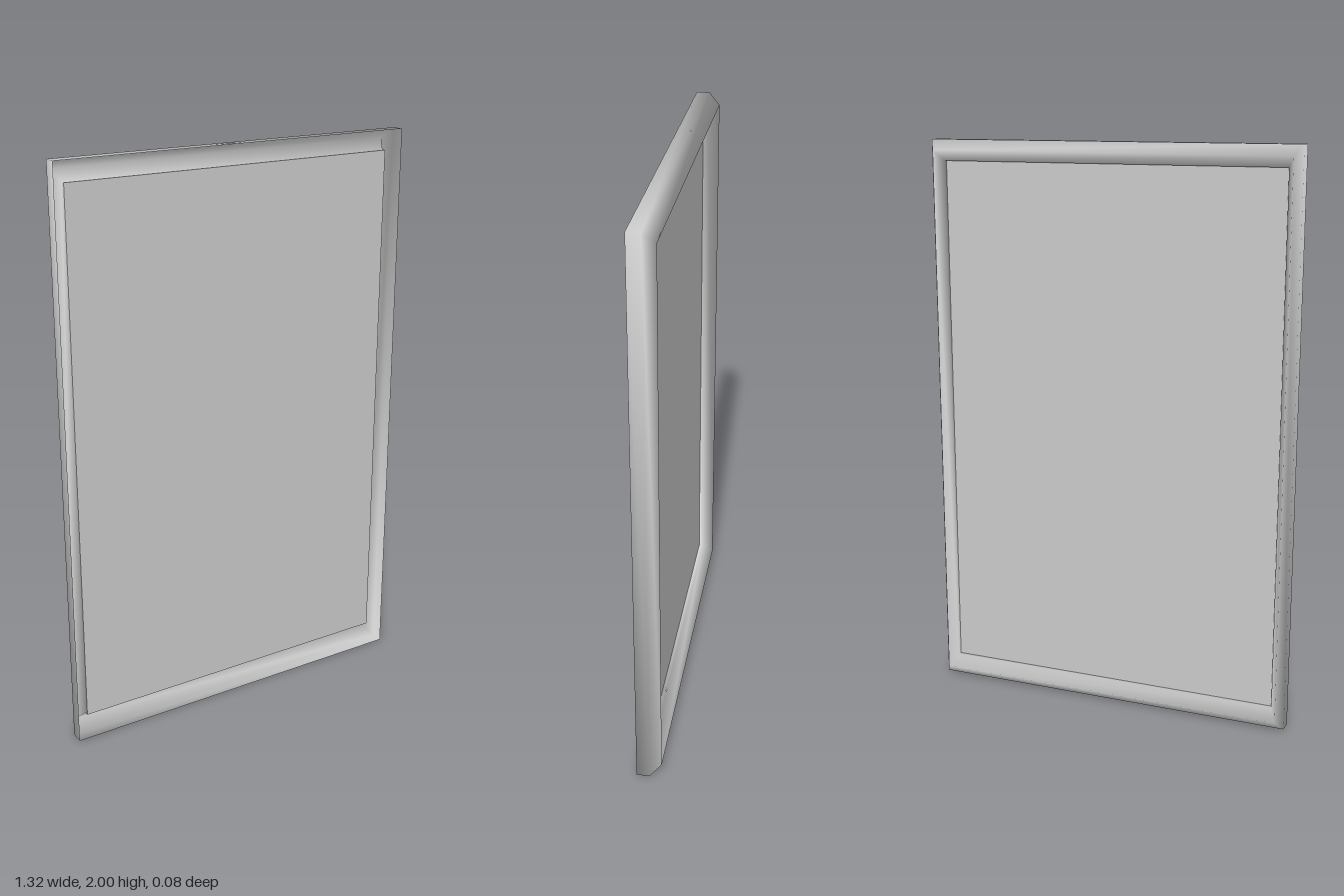
import * as THREE from 'three';

const HALF_W = 0.662, HALF_H = 1;   // outer half size
const INSET_X = 0.047, INSET_Y = 0.073; // width of the frame moulding
const PANE_Z = 0.012;

// Sweep an open moulding profile [inset fraction, z] around the four mitred corners
function mouldingGeometry(profile) {
  const corners = [[-1, -1], [1, -1], [1, 1], [-1, 1]];
  const positions = [], index = [], n = profile.length;
  for (const [sx, sy] of corners) {
    for (const [t, z] of profile) {
      positions.push(sx * (HALF_W - t * INSET_X), sy * (HALF_H - t * INSET_Y), z);
    }
  }
  for (let i = 0; i < 4; i++) {
    for (let j = 0; j < n - 1; j++) {
      const a = i * n + j, b = ((i + 1) % 4) * n + j;
      index.push(a, a + 1, b, b, a + 1, b + 1);
    }
  }
  const geometry = new THREE.BufferGeometry();
  geometry.setAttribute('position', new THREE.Float32BufferAttribute(positions, 3));
  geometry.setIndex(index);
  geometry.computeVertexNormals();
  return geometry;
}

export function createModel() {
  const model = new THREE.Group();
  model.name = 'framedPanel';
  const material = new THREE.MeshStandardMaterial({ color: 0xcccccc, side: THREE.DoubleSide });

  // Hollow channel frame: outer wall, ridge at the back, inner lip
  const frame = new THREE.Mesh(
    mouldingGeometry([[0, 0.042], [0, -0.003], [0.5, -0.042], [1, -0.003], [1, PANE_Z]]),
    material
  );
  frame.name = 'frame';
  frame.position.y = HALF_H;

  // Flat pane filling the opening
  const pane = new THREE.Mesh(
    new THREE.PlaneGeometry(2 * (HALF_W - INSET_X), 2 * (HALF_H - INSET_Y)),
    material
  );
  pane.name = 'pane';
  pane.position.set(0, HALF_H, PANE_Z);

  model.add(frame, pane);
  return model;
}
